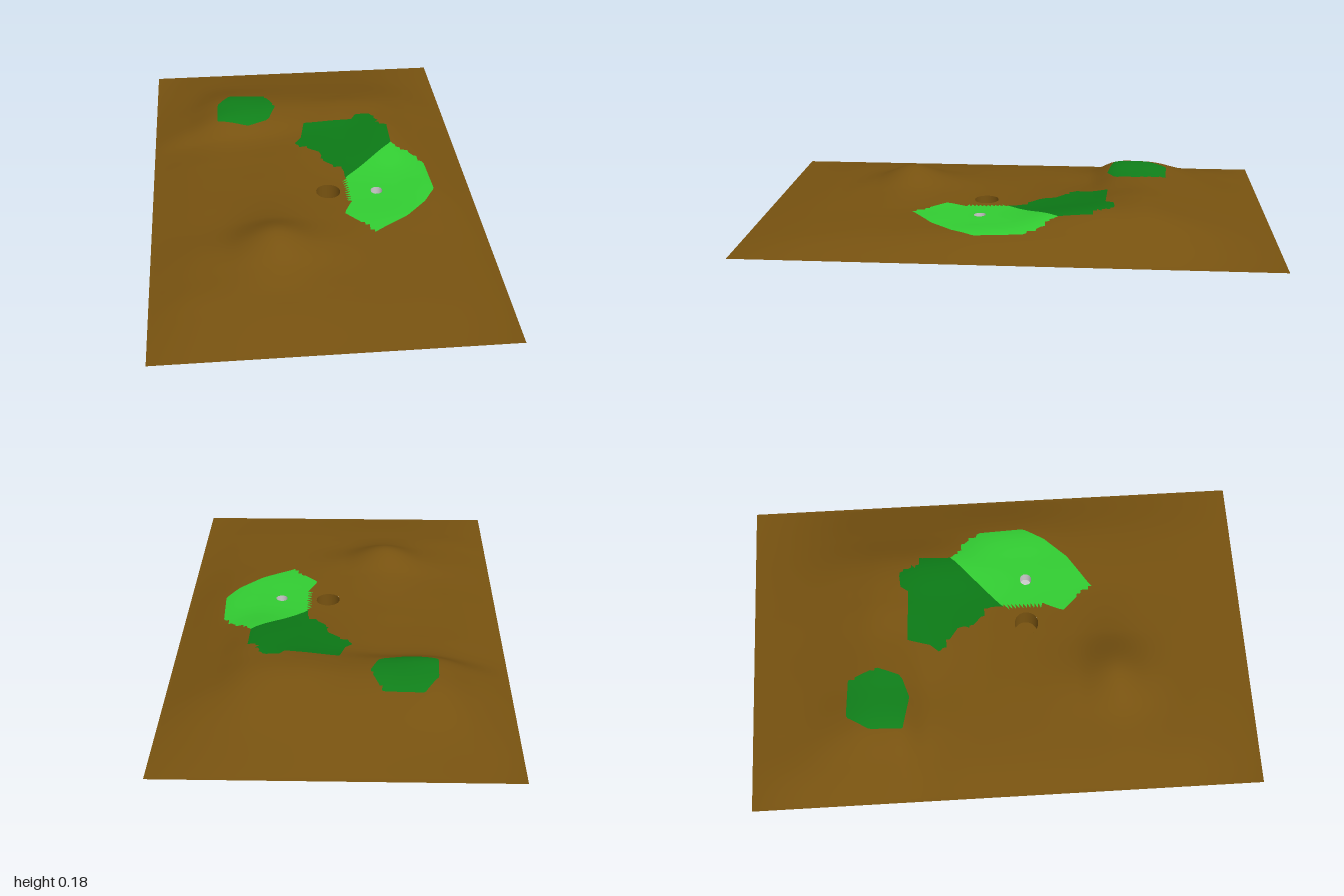
import * as THREE from 'three';

// Control heights of the ground: columns along x, rows along z
const XS = [-0.64, -0.5, -0.36, -0.18, 0, 0.16, 0.33, 0.47, 0.64];
const ZS = [-1, -0.8, -0.6, -0.5, -0.4, -0.3, -0.15, 0, 0.15, 0.3, 0.45, 0.6, 0.7, 0.8, 1];
const EDGE = 0.06;
const INNER = [
  [0.09, 0.10, 0.105, 0.105, 0.105, 0.10, 0.085],
  [0.11, 0.16, 0.16, 0.155, 0.155, 0.15, 0.115],
  [0.115, 0.17, 0.172, 0.168, 0.175, 0.166, 0.12],
  [0.113, 0.163, 0.16, 0.158, 0.17, 0.167, 0.12],
  [0.09, 0.115, 0.12, 0.138, 0.153, 0.165, 0.12],
  [0.09, 0.105, 0.113, 0.125, 0.135, 0.15, 0.12],
  [0.09, 0.105, 0.115, 0.118, 0.12, 0.125, 0.118],
  [0.09, 0.107, 0.12, 0.118, 0.115, 0.117, 0.115],
  [0.09, 0.11, 0.14, 0.123, 0.115, 0.115, 0.105],
  [0.095, 0.122, 0.186, 0.132, 0.11, 0.105, 0.095],
  [0.092, 0.108, 0.128, 0.108, 0.10, 0.097, 0.088],
  [0.09, 0.10, 0.102, 0.098, 0.093, 0.09, 0.083],
  [0.08, 0.088, 0.09, 0.088, 0.085, 0.082, 0.077],
];
const flat = XS.map(() => EDGE);
const ROWS = [flat, ...INNER.map((r) => [EDGE, ...r, EDGE]), flat];

// Smooth curve through values v at positions p
function spline(p, v, t) {
  const n = p.length;
  let k = 0;
  while (k < n - 2 && t > p[k + 1]) k++;
  const slope = (i) => {
    const a = Math.max(i - 1, 0), b = Math.min(i + 1, n - 1);
    return (v[b] - v[a]) / (p[b] - p[a]);
  };
  const d = p[k + 1] - p[k];
  const u = THREE.MathUtils.clamp((t - p[k]) / d, 0, 1);
  const u2 = u * u, u3 = u2 * u;
  return (2 * u3 - 3 * u2 + 1) * v[k] + (u3 - 2 * u2 + u) * d * slope(k)
    + (3 * u2 - 2 * u3) * v[k + 1] + (u3 - u2) * d * slope(k + 1);
}
const height = (x, z) => spline(ZS, ROWS.map((r) => spline(XS, r, x)), z);

// Outlines of the grass areas, as [x, z]
const PATCHES = [
  { name: 'teeArea', color: 0x10801a, outline: [[-0.31, -0.62], [-0.16, -0.61], [-0.115, -0.495],
    [-0.15, -0.4], [-0.24, -0.37], [-0.37, -0.4], [-0.365, -0.53]] },
  { name: 'fairway', color: 0x0c7816, outline: [[0, -0.37], [0.205, -0.36], [0.225, -0.39], [0.285, -0.395],
    [0.315, -0.33], [0.35, -0.3], [0.35, -0.18], [0.135, 0.02], [0.135, -0.035], [0.06, -0.1],
    [0.05, -0.165], [-0.01, -0.21], [-0.05, -0.245], [-0.02, -0.28]] },
  { name: 'puttingGreen', color: 0x32cd32, outline: [[0.35, -0.18], [0.425, -0.115], [0.47, -0.06], [0.48, 0.125],
    [0.43, 0.21], [0.345, 0.3], [0.215, 0.385], [0.105, 0.265], [0.135, 0.2], [0.135, 0.02]] },
];

// Round holes: centre, radius, floor height, and half size in grid cells
const BROWN = 0x775210;
const HOLES = [
  { name: 'groundPit', x: 0.057, z: 0.113, r: 0.048, floor: 0.002, cells: 2.5, color: BROWN },
  { name: 'cup', x: 0.249, z: 0.122, r: 0.024, floor: 0.058, cells: 1.5, color: 0xcccccc },
];

const STEP = 0.016, NX = 80, NZ = 125;
const cellCentre = (v, n) => (Math.floor(v / STEP + n / 2) + 0.5 - n / 2) * STEP;

function inside(outline, x, z) {
  let hit = false;
  outline.forEach(([ax, az], i) => {
    const [bx, bz] = outline[(i + 1) % outline.length];
    if ((az > z) !== (bz > z) && x < ax + ((z - az) * (bx - ax)) / (bz - az)) hit = !hit;
  });
  return hit;
}

// Pull a grid point onto a grass outline or around a hole rim
function adjust(x, z) {
  for (const h of HOLES) {
    const dx = x - cellCentre(h.x, NX), dz = z - cellCentre(h.z, NZ);
    const cheb = Math.max(Math.abs(dx), Math.abs(dz));
    const s = h.cells * STEP, reach = s + 0.04;
    if (cheb < reach && cheb > 1e-6) {
      const t = Math.max(0, (cheb - s) / (reach - s));
      const len = Math.hypot(dx, dz);
      x = THREE.MathUtils.lerp(h.x + (dx / len) * h.r, x, t);
      z = THREE.MathUtils.lerp(h.z + (dz / len) * h.r, z, t);
    }
  }
  let best = STEP * 0.55, px = x, pz = z;
  for (const { outline } of PATCHES) {
    outline.forEach(([ax, az], i) => {
      const [bx, bz] = outline[(i + 1) % outline.length];
      const ex = bx - ax, ez = bz - az;
      const t = THREE.MathUtils.clamp(((x - ax) * ex + (z - az) * ez) / (ex * ex + ez * ez), 0, 1);
      const d = Math.hypot(ax + ex * t - x, az + ez * t - z);
      if (d < best) { best = d; px = ax + ex * t; pz = az + ez * t; }
    });
  }
  return [px, pz];
}

export function createModel() {
  const model = new THREE.Group();
  const add = (name, geometry, color) => {
    const mesh = new THREE.Mesh(geometry, new THREE.MeshStandardMaterial({ color, side: THREE.DoubleSide }));
    mesh.name = name;
    model.add(mesh);
    return mesh;
  };

  // Ground points with smooth normals taken from the slope
  const pos = [], nor = [], e = 0.004;
  for (let j = 0; j <= NZ; j++) {
    for (let i = 0; i <= NX; i++) {
      const [x, z] = adjust((i - NX / 2) * STEP, (j - NZ / 2) * STEP);
      pos.push(x, height(x, z), z);
      const n = new THREE.Vector3(height(x - e, z) - height(x + e, z), 2 * e,
        height(x, z - e) - height(x, z + e)).normalize();
      nor.push(n.x, n.y, n.z);
    }
  }

  // Share the triangles out between bare ground and grass
  const lists = [[], ...PATCHES.map(() => [])];
  for (let j = 0; j < NZ; j++) {
    for (let i = 0; i < NX; i++) {
      const cx = (i + 0.5 - NX / 2) * STEP, cz = (j + 0.5 - NZ / 2) * STEP;
      if (HOLES.some((h) => Math.max(Math.abs(cx - cellCentre(h.x, NX)),
        Math.abs(cz - cellCentre(h.z, NZ))) < h.cells * STEP)) continue;
      const a = j * (NX + 1) + i, b = a + 1, c = a + NX + 1, d = c + 1;
      for (const tri of [[a, c, b], [b, c, d]]) {
        const mx = tri.reduce((s, k) => s + pos[k * 3], 0) / 3;
        const mz = tri.reduce((s, k) => s + pos[k * 3 + 2], 0) / 3;
        lists[PATCHES.findIndex((p) => inside(p.outline, mx, mz)) + 1].push(...tri);
      }
    }
  }
  [{ name: 'ground', color: BROWN }, ...PATCHES].forEach(({ name, color }, k) => {
    const g = new THREE.BufferGeometry();
    g.setAttribute('position', new THREE.Float32BufferAttribute(pos, 3));
    g.setAttribute('normal', new THREE.Float32BufferAttribute(nor, 3));
    g.setIndex(lists[k]);
    add(name, g.toNonIndexed(), color);
  });

  // Holes: a wall that follows the ground at its rim, and a floor
  for (const h of HOLES) {
    const wall = new THREE.CylinderGeometry(h.r, h.r, 1, 32, 1, true);
    const p = wall.attributes.position;
    for (let i = 0; i < p.count; i++) {
      const x = p.getX(i) + h.x, z = p.getZ(i) + h.z;
      p.setXYZ(i, x, p.getY(i) > 0 ? height(x, z) : h.floor, z);
    }
    add(h.name + 'Wall', wall, h.color);
    const floor = new THREE.CircleGeometry(h.r, 32).rotateX(-Math.PI / 2).translate(h.x, h.floor, h.z);
    add(h.name + 'Floor', floor, h.color);
  }
  return model;
}
